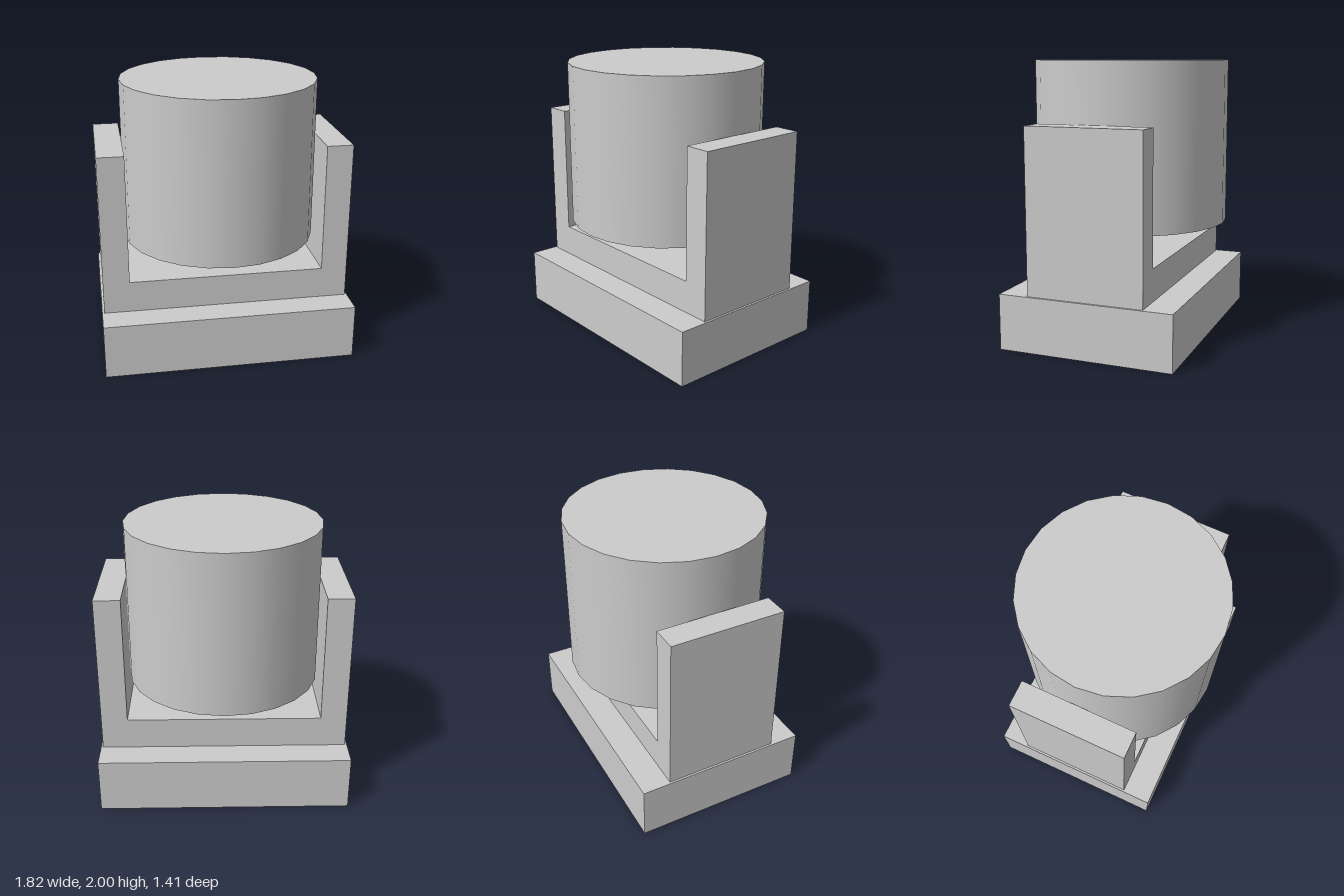
import * as THREE from 'three';

export function createModel() {
  const model = new THREE.Group();
  const lightGrey = new THREE.MeshStandardMaterial({ color: 0xcccccc });
  lightGrey.name = 'lightGrey';

  const add = (name, geometry, y = 0) => {
    const mesh = new THREE.Mesh(geometry, lightGrey);
    mesh.name = name;
    mesh.position.y = y;
    model.add(mesh);
  };

  // Rectangular base plate
  add('base', new THREE.BoxGeometry(1.82, 0.4, 1.266), 0.2);

  // U-shaped bracket, extruded front to back
  const outer = 0.895, inner = 0.705, bottom = 0.4, floor = 0.63, top = 1.57, depth = 0.844;
  const profile = new THREE.Shape([
    [-outer, bottom], [outer, bottom], [outer, top], [inner, top],
    [inner, floor], [-inner, floor], [-inner, top], [-outer, top],
  ].map(([x, y]) => new THREE.Vector2(x, y)));
  const bracket = new THREE.ExtrudeGeometry(profile, { depth, bevelEnabled: false });
  bracket.translate(0, 0, -depth / 2);
  add('bracket', bracket);

  // Drum held between the bracket arms, clear of its floor
  add('drum', new THREE.CylinderGeometry(0.705, 0.705, 1.175, 24), 1.4125);

  return model;
}
